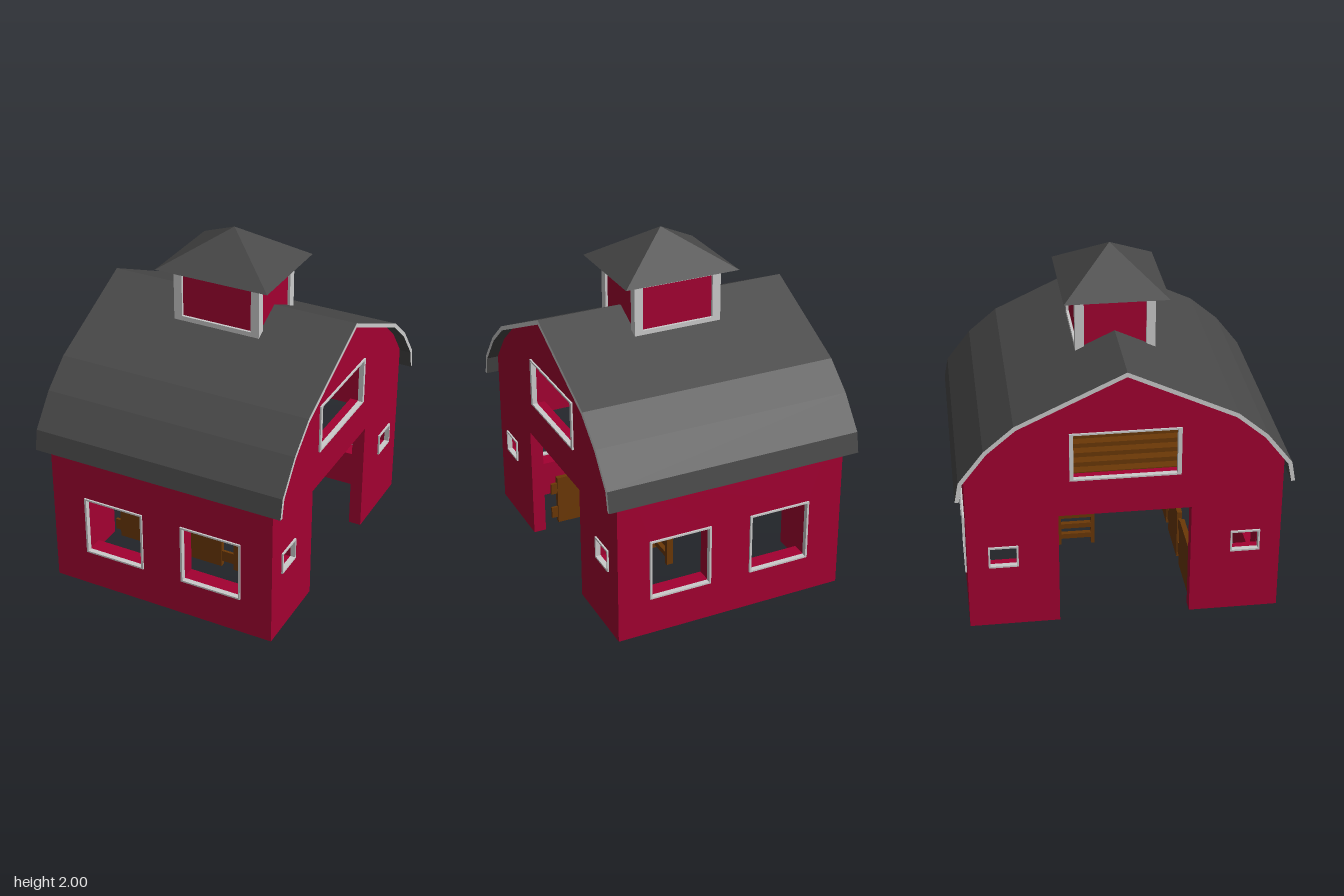
import * as THREE from 'three';

const mat = (color, side = THREE.FrontSide) => new THREE.MeshStandardMaterial({ color, side, flatShading: true });
const RED = mat(0xa30031), ROOF = mat(0x484848, THREE.DoubleSide), TRIM = mat(0xbcbcbc), WOOD = mat(0x6b3806);
const T = 0.075, LONG_T = 0.12; // gable and long wall thickness

const shapeOf = pts => new THREE.Shape(pts.map(p => new THREE.Vector2(p[0], p[1])));
const rect = (x0, x1, y0, y1) => [[x0, y0], [x1, y0], [x1, y1], [x0, y1]];
const mirror = pts => [...pts, ...pts.slice(0, -1).reverse().map(([x, y]) => [-x, y])];

function add(parent, name, geo, material, x = 0, y = 0, z = 0) {
  const m = new THREE.Mesh(geo, material);
  m.name = name;
  m.position.set(x, y, z);
  parent.add(m);
  return m;
}
// box from its extents
function box(parent, name, material, [x0, x1], [y0, y1], [z0, z1]) {
  return add(parent, name, new THREE.BoxGeometry(x1 - x0, y1 - y0, z1 - z0), material,
    (x0 + x1) / 2, (y0 + y1) / 2, (z0 + z1) / 2);
}
// extrusion centred on its depth; alongX turns the depth axis to x
function slab(outline, holes, depth, alongX) {
  const s = shapeOf(outline);
  holes.forEach(h => s.holes.push(shapeOf(h)));
  const g = new THREE.ExtrudeGeometry(s, { depth, bevelEnabled: false });
  g.translate(0, 0, -depth / 2);
  if (alongX) g.rotateY(Math.PI / 2);
  return g;
}
function frame([a, b, c, d], side, top, alongX) {
  return slab(rect(a, b, c, d), [rect(a + side, b - side, c + top, d - top)], 0.03, alongX);
}

function buildWalls() {
  const g = new THREE.Group();
  g.name = 'walls';
  g.position.z = 0.006;
  const X = 0.688, Z = 0.879;
  const slope = [[Z, 0.977], [0.75, 1.152], [0.595, 1.282], [0, 1.56]];

  // gable ends with doorway, hayloft opening and small windows
  const gable = [[0.37, 0.69], [0.37, 0], [Z, 0], ...mirror(slope), [-Z, 0], [-0.37, 0], [-0.37, 0.69]];
  const openings = [
    { r: [-0.307, 0.307, 0.91, 1.2], s: 0.022, t: 0.01 },
    { r: [0.595, 0.762, 0.385, 0.517], s: 0.01, t: 0.01 },
    { r: [-0.762, -0.595, 0.385, 0.517], s: 0.01, t: 0.01 }];
  for (const k of [-1, 1]) {
    add(g, 'gableWall', slab(gable, openings.map(o => rect(...o.r)), T, true), RED, k * (X - T / 2));
    for (const o of openings) add(g, 'gableWindowFrame', frame(o.r, o.s, o.t, true), TRIM, k * (X - 0.005));
  }

  // long walls with two windows each
  const windows = [[-0.48, -0.11, 0.225, 0.59], [0.13, 0.5, 0.225, 0.59]];
  for (const k of [-1, 1]) {
    add(g, 'longWall', slab(rect(T - X, X - T, 0, 0.972), windows.map(w => rect(...w)), LONG_T, false),
      RED, 0, 0, k * (Z - LONG_T / 2));
    for (const w of windows) add(g, 'windowFrame', frame(w, 0.012, 0.01, false), TRIM, 0, 0, k * (Z - 0.005));
  }

  // ceiling lining under the roof
  const inner = [[Z - LONG_T, 0.967], [0.69, 1.095], [0.555, 1.22], [0, 1.49]];
  add(g, 'ceiling', slab([...mirror(slope), ...mirror(inner).reverse()], [], 2 * (X - T), true), RED);
  return g;
}

function buildRoof() {
  const outer = [[0.93, 0.858], [0.908, 0.977], [0.768, 1.157], [0.603, 1.297], [0, 1.58]];
  const inner = [[0.908, 0.858], [0.886, 0.967], [0.752, 1.14], [0.592, 1.275], [0, 1.553]];
  const g = slab([...mirror(outer), ...mirror(inner).reverse()], [], 1.51, true);
  const m = new THREE.Mesh(g, [TRIM, ROOF]); // pale end edges, dark surface
  m.name = 'gambrelRoof';
  m.position.z = 0.004;
  return m;
}

function buildCupola() {
  const g = new THREE.Group();
  g.name = 'cupola';
  g.position.set(0.012, 0, 0.006);
  const X = 0.263, Z = 0.223, y0 = 1.472, y1 = 1.79, P = 0.05;
  box(g, 'cupolaPanels', RED, [-X + 0.015, X - 0.015], [y0, y1], [-Z + 0.015, Z - 0.015]);
  for (const i of [-1, 1]) {
    for (const k of [-1, 1]) {
      add(g, 'cupolaPost', new THREE.BoxGeometry(P, y1 - y0, P), TRIM,
        i * (X - P / 2), (y0 + y1) / 2, k * (Z - P / 2));
    }
    for (const [y, h] of [[1.772, 0.036], [1.487, 0.03]]) {
      add(g, 'cupolaRail', new THREE.BoxGeometry(2 * (X - P), h, 0.03), TRIM, 0, y, i * (Z - 0.015));
    }
    add(g, 'cupolaSideRail', new THREE.BoxGeometry(0.03, 0.036, 2 * (Z - P)), TRIM, i * (X - 0.015), 1.772, 0);
  }
  // four-sided roof with a red soffit
  const cone = new THREE.ConeGeometry(Math.SQRT2, 0.213, 4, 1, true).rotateY(Math.PI / 4).scale(0.343, 1, 0.29);
  add(g, 'cupolaRoof', cone, ROOF, 0, 1.8935, 0);
  add(g, 'cupolaSoffit', new THREE.PlaneGeometry(0.686, 0.58).rotateX(Math.PI / 2), RED, 0, 1.786, 0);
  return g;
}

function buildLadder() {
  const g = new THREE.Group();
  g.name = 'ladder';
  for (const z of [-0.087, -0.291]) box(g, 'ladderRail', WOOD, [0.08, 0.12], [0, 0.78], [z - 0.011, z + 0.011]);
  for (let i = 0; i < 10; i++) {
    const y = 0.055 + i * 0.0715;
    box(g, 'ladderRung', WOOD, [0.085, 0.115], [y - 0.016, y + 0.016], [-0.285, -0.093]);
  }
  return g;
}

function buildLoft() {
  const g = new THREE.Group();
  g.name = 'hayloft';
  for (let i = 0; i < 7; i++) {
    const x = -0.6 + i * 0.108;
    box(g, 'loftPlank', WOOD, [x, x + 0.06], [0.75, 0.78], [-0.755, 0.765]);
  }
  for (const z of [-0.6, 0.6]) box(g, 'loftBeam', WOOD, [-0.612, 0.108], [0.715, 0.75], [z - 0.03, z + 0.03]);
  return g;
}

function buildStalls() {
  const g = new THREE.Group();
  g.name = 'stallFence';
  for (const x of [-0.39, -0.012, 0.37]) box(g, 'stallPanel', WOOD, [x - 0.152, x + 0.152], [0.02, 0.328], [0.39, 0.42]);
  for (const y of [0.09, 0.255]) box(g, 'stallRail', WOOD, [-0.58, 0.56], [y - 0.035, y + 0.035], [0.397, 0.413]);
  return g;
}

export function createModel() {
  const model = new THREE.Group();
  model.name = 'barn';
  model.add(buildWalls(), buildRoof(), buildCupola(), buildLadder(), buildLoft(), buildStalls());
  return model;
}
